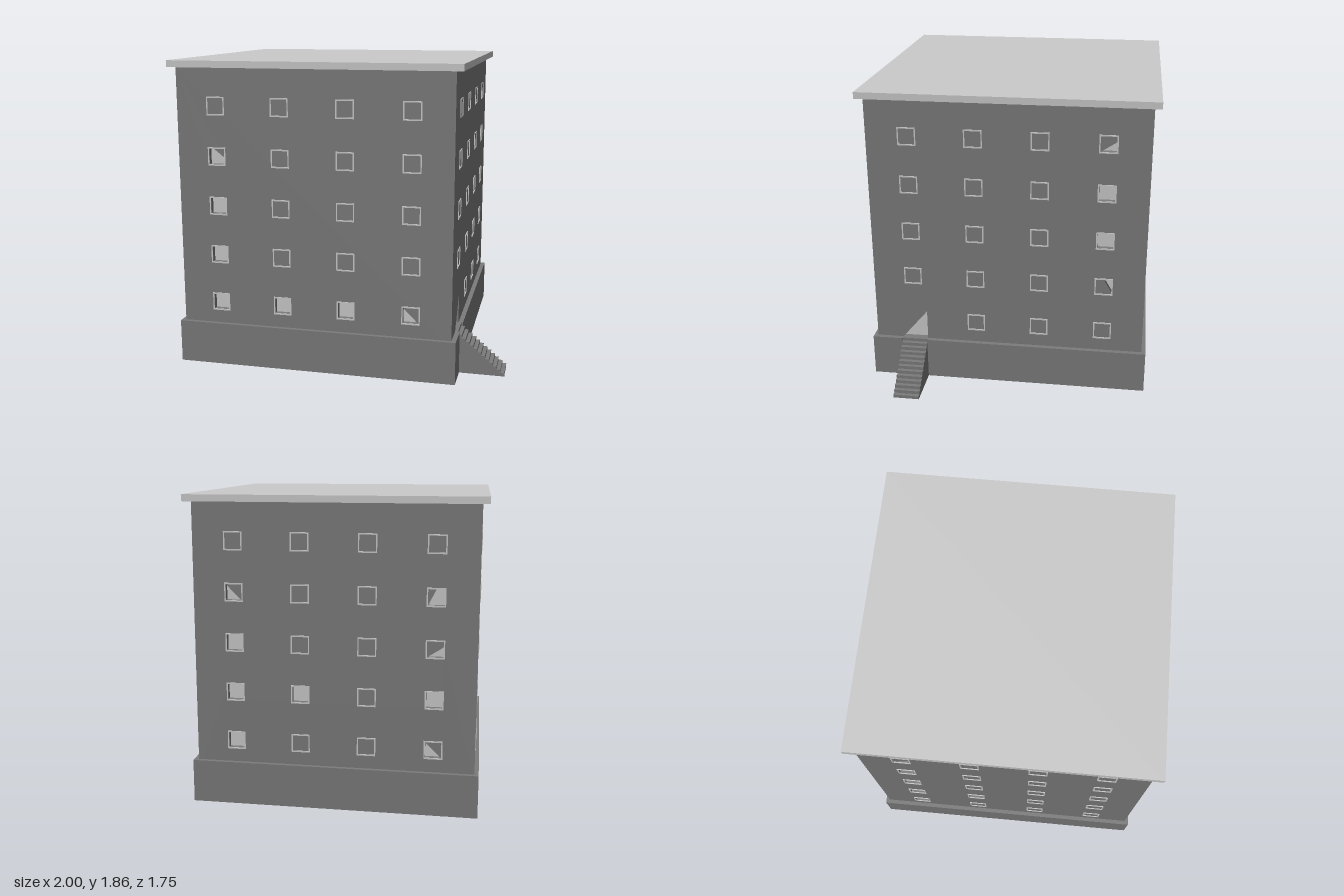
import * as THREE from 'three';

const light = new THREE.MeshStandardMaterial({ color: 0xcccccc });
const dark = new THREE.MeshStandardMaterial({ color: 0x7c7c7c });

const COLS = [-0.588, -0.196, 0.196, 0.588];
const ROWS = [0.395, 0.695, 0.995, 1.295, 1.595];
const OPEN = 0.094, FRAME = 0.11, RECESS = 0.03;
const BASE_TOP = 0.26, WALL_TOP = 1.82, CENTRE_X = -0.13;

// Outlines of the openings, in units of the window size
const FULL = [[0, 0], [1, 0], [1, 1], [0, 1]];
const LOW_LEFT = [[0, 0], [1, 0], [0, 1]];
const LOW_RIGHT = [[0, 0], [1, 0], [1, 0.65]];
const HIGH_RIGHT = [[0.5, 1], [1, 0.15], [1, 1]];
const CUT_RIGHT = [[0, 0], [1, 0], [1, 0.45], [0.3, 1], [0, 1]];
const CUT_LEFT = [[0, 0], [1, 0], [1, 1], [0.5, 1]];

function mesh(name, geometry, material) {
  const m = new THREE.Mesh(geometry, material);
  m.name = name;
  return m;
}

function box(name, w, h, d, x, y, z, material) {
  const m = mesh(name, new THREE.BoxGeometry(w, h, d), material);
  m.position.set(x, y, z);
  return m;
}

const points = (list) => list.map(([x, y]) => new THREE.Vector2(x, y));

function rectangle(x0, y0, x1, y1) {
  return points([[x0, y0], [x1, y0], [x1, y1], [x0, y1]]);
}

function extrude(shape, depth) {
  return new THREE.ExtrudeGeometry(shape, { depth, bevelEnabled: false });
}

// One storeyed wall facing +z, with frames, openings and panes
function buildWall(name, width, openings, door) {
  const wall = new THREE.Group();
  wall.name = name;
  const shape = new THREE.Shape(rectangle(-width / 2, 0.2, width / 2, WALL_TOP));
  const frameShape = new THREE.Shape(rectangle(-FRAME / 2, -FRAME / 2, FRAME / 2, FRAME / 2));
  frameShape.holes.push(new THREE.Path(rectangle(-OPEN / 2, -OPEN / 2, OPEN / 2, OPEN / 2)));
  const frameGeometry = extrude(frameShape, 0.005);

  COLS.forEach((u, c) => ROWS.forEach((v, r) => {
    if (door && c === 0 && r === 0) return;
    const frame = mesh('windowFrame', frameGeometry, light);
    frame.position.set(u, v, 0);
    wall.add(frame);
    const outline = openings[`${c},${r}`];
    if (!outline) return;
    shape.holes.push(new THREE.Path(points(
      outline.map(([a, b]) => [u + (a - 0.5) * OPEN, v + (b - 0.5) * OPEN]))));
    wall.add(box('windowPane', FRAME, FRAME, 0.01, u, v, -RECESS - 0.005, light));
  }));

  // Sloped doorway with the door behind it
  if (door) {
    shape.holes.push(new THREE.Path(points([[-0.67, BASE_TOP], [-0.51, BASE_TOP], [-0.51, 0.45]])));
    wall.add(box('door', 0.18, 0.22, 0.01, -0.59, 0.355, -RECESS - 0.005, light));
  }

  const panel = mesh('wallPanel', extrude(shape, RECESS), dark);
  panel.position.z = -RECESS;
  wall.add(panel);
  return wall;
}

export function createModel() {
  const model = new THREE.Group();
  model.name = 'apartmentBuilding';

  // Four walls: name, width, distance from centre, turn, openings, door
  const walls = [
    ['frontWall', 1.66, 0.835, 0, {
      '0,0': FULL, '0,1': FULL, '0,2': FULL, '0,3': CUT_RIGHT,
      '1,0': FULL, '2,0': FULL, '3,0': LOW_LEFT }, false],
    ['entranceWall', 1.67, 0.83, 1, {
      '3,1': HIGH_RIGHT, '3,2': FULL, '3,3': FULL, '3,4': LOW_RIGHT }, true],
    ['backWall', 1.66, 0.835, 2, {
      '0,0': FULL, '0,1': FULL, '0,2': FULL, '0,3': LOW_LEFT, '1,1': FULL,
      '3,0': LOW_LEFT, '3,1': FULL, '3,2': LOW_RIGHT, '3,3': CUT_LEFT }, false],
    ['sideWall', 1.67, 0.83, 3, {
      '0,0': FULL, '0,1': FULL, '0,2': FULL, '0,3': FULL, '0,4': LOW_RIGHT,
      '1,1': FULL }, false],
  ];
  for (const [name, width, distance, turn, openings, door] of walls) {
    const wall = buildWall(name, width, openings, door);
    const angle = turn * Math.PI / 2;
    wall.rotation.y = angle;
    wall.position.set(CENTRE_X + Math.sin(angle) * distance, 0, Math.cos(angle) * distance);
    model.add(wall);
  }

  // Plinth with a slot for the stairs, drawn in plan and laid flat
  const plan = new THREE.Shape(points([
    [-0.985, -0.86], [0.728, -0.86], [0.728, -0.67], [0.7, -0.67],
    [0.7, -0.51], [0.728, -0.51], [0.728, 0.86], [-0.985, 0.86]]));
  const plinth = mesh('plinth', extrude(plan, BASE_TOP), dark);
  plinth.rotation.x = -Math.PI / 2;
  model.add(plinth);

  // Flat roof slab
  model.add(box('roof', 1.745, 0.04, 1.75, -0.1275, 1.84, 0, light));

  // Solid stair flight, cut from one stepped profile
  const steps = 13, rise = BASE_TOP / steps, run = 0.0235;
  const profile = [[0.69, 0], [1, 0]];
  for (let i = 0; i < steps; i++) {
    profile.push([1 - i * run, (i + 1) * rise]);
    profile.push([i < steps - 1 ? 1 - (i + 1) * run : 0.69, (i + 1) * rise]);
  }
  const stairs = mesh('stairs', extrude(new THREE.Shape(points(profile)), 0.16), dark);
  stairs.position.z = 0.51;
  model.add(stairs);

  return model;
}
